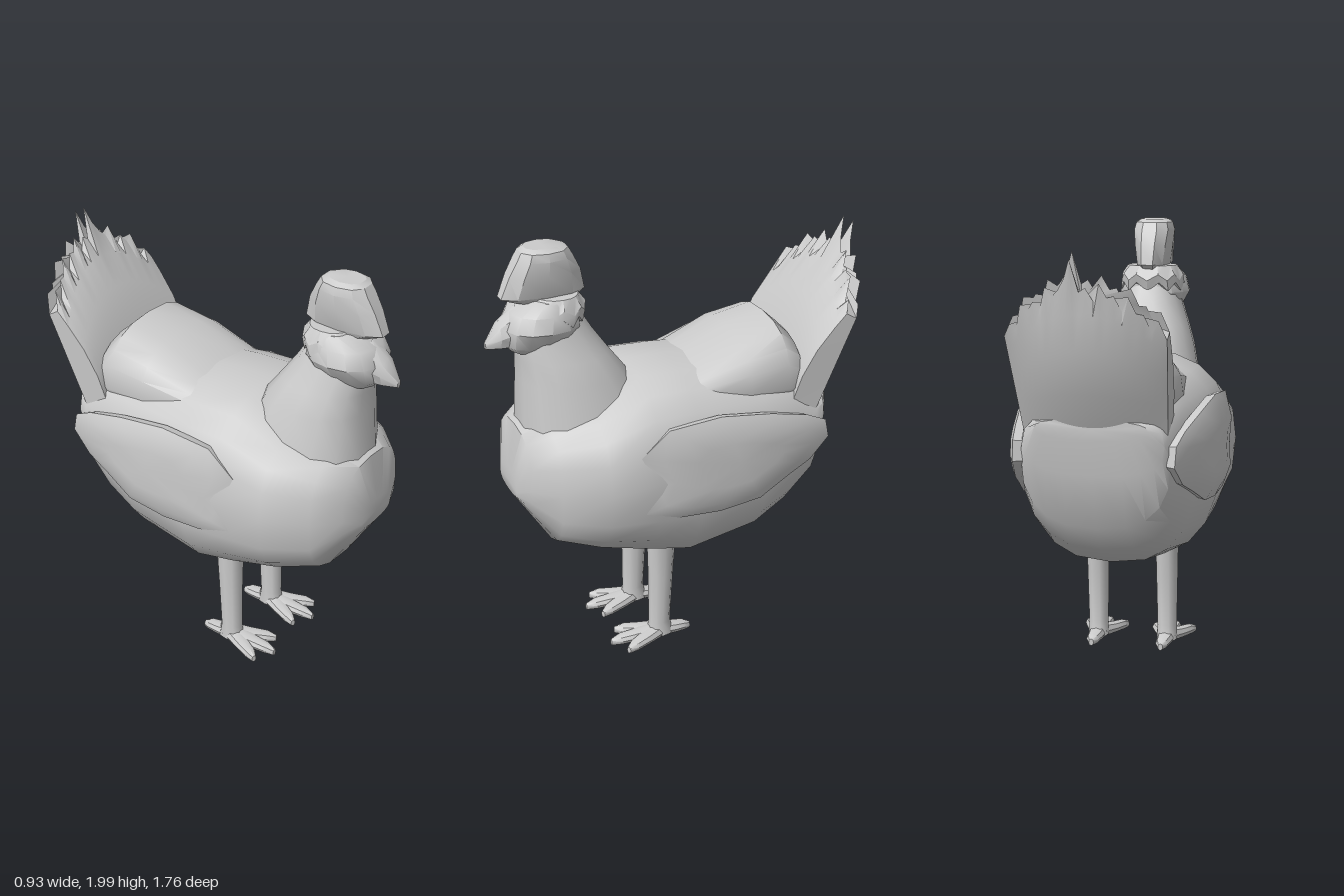
import * as THREE from 'three';
import { toCreasedNormals } from 'three/addons/utils/BufferGeometryUtils.js';

const material = new THREE.MeshStandardMaterial({ color: 0xcccccc });
const V = (x, y, z) => new THREE.Vector3(x, y, z);
const mix = THREE.MathUtils.lerp;

// Closed skin over equal-length rings of points, capped at both ends and facing outward
function loft(rings, crease = 0.7) {
  const n = rings[0].length, tris = [];
  for (let i = 0; i < rings.length - 1; i++) {
    for (let j = 0; j < n; j++) {
      const k = (j + 1) % n;
      const [a, b, c, d] = [rings[i][j], rings[i][k], rings[i + 1][k], rings[i + 1][j]];
      tris.push([a, b, c], [a, c, d]);
    }
  }
  for (const [ring, last] of [[rings[0], false], [rings[rings.length - 1], true]]) {
    const mid = ring.reduce((s, p) => s.add(p), V(0, 0, 0)).divideScalar(n);
    for (let j = 0; j < n; j++) {
      const a = ring[j], b = ring[(j + 1) % n];
      tris.push(last ? [a, b, mid] : [b, a, mid]);
    }
  }
  const volume = tris.reduce((s, [a, b, c]) => s + a.dot(b.clone().cross(c)), 0);
  const points = tris.flatMap(([a, b, c]) => (volume < 0 ? [a, c, b] : [a, b, c]));
  return toCreasedNormals(new THREE.BufferGeometry().setFromPoints(points), crease);
}

// Points around a squared-off oval: e > 1 flattens the sides
function oval(n, e, place) {
  const soft = v => Math.sign(v) * Math.abs(v) ** (1 / e);
  return Array.from({ length: n }, (_, j) => {
    const a = (j / n) * Math.PI * 2;
    return place(soft(Math.cos(a)), soft(Math.sin(a)), j);
  });
}

// Upright cross-section across the body at depth z
const slice = (z, low, mid, high, w, e = 1.3) =>
  oval(20, e, (c, s) => V(c * w, mid + s * (s > 0 ? high - mid : mid - low), z));

// Level cross-section at height y; jag makes every other point hang lower
const level = (y, front, back, w, n = 14, jag = 0) =>
  oval(n, 1.15, (c, s, j) => V(c * w, y - (j % 2) * jag, (front + back) / 2 + s * (front - back) / 2));

// Tail fan: cupped wedge, bulging before and behind, with a ragged feathered rim
function tailGeometry() {
  const steps = 24, rows = [0, 0.3, 0.6, 0.85, 1];
  return loft(rows.map(t => {
    const front = [], back = [];
    for (let i = 0; i <= steps; i++) {
      const u = (i / steps) * 2 - 1, arch = 1 - u * u;
      const plume = i === 13 || i === 14 ? 0.09 : 0;
      const jag = t === 1 ? [0, 0.05, -0.03, 0.02][i % 4] + plume : 0;
      const tipY = 1.6 + 0.2 * arch + jag;
      const tipZ = -0.69 - 0.1 * arch - jag * 0.3;
      const x = u * (0.32 + 0.03 * t);
      const swell = Math.sin(Math.PI * t);
      front.push(V(x, mix(1.2 + 0.1 * arch, tipY, t), mix(-0.45 - 0.04 * arch, tipZ, t) + 0.04 * swell));
      back.push(V(x, mix(1.14, tipY - 0.03, t), mix(-0.57 - 0.06 * arch, tipZ - 0.05, t) - 0.05 * swell * arch));
    }
    return [...front, ...back.reverse()];
  }), 0.6);
}

// Folded wing: shallow dome following the flank, outline given as [z, y]
const wingOutline = [
  [0.33, 1.12], [0.2, 1.23], [-0.05, 1.25], [-0.3, 1.21], [-0.5, 1.15], [-0.6, 1.1], [-0.62, 1.01],
  [-0.52, 0.92], [-0.4, 0.87], [-0.25, 0.8], [-0.05, 0.78], [0.15, 0.79], [0.31, 0.84], [0.26, 0.97],
];
function wingGeometry(side) {
  const cz = -0.13, cy = 1.02;
  const ring = (scale, out) => wingOutline.map(([z, y]) => {
    const Z = mix(cz, z, scale), Y = mix(cy, y, scale);
    const bend = Z < -0.2 ? (-0.2 - Z) * 0.17 : 0;
    return V(side * (0.465 - bend - out), Y, Z);
  });
  return loft([ring(0.45, 0), ring(0.8, 0.012), ring(1, 0.035), ring(0.95, 0.08)], 0.8);
}

export function createModel() {
  const hen = new THREE.Group();
  hen.name = 'hen';
  const add = (name, geometry, parent = hen) => {
    const mesh = new THREE.Mesh(geometry, material);
    mesh.name = name;
    parent.add(mesh);
    return mesh;
  };

  // Plump body, breast to rump
  add('body', loft([
    slice(0.805, 0.86, 0.9, 0.97, 0.12),
    slice(0.765, 0.8, 0.95, 1.18, 0.23, 1.4),
    slice(0.66, 0.635, 0.95, 1.24, 0.33, 1.4),
    slice(0.47, 0.575, 0.96, 1.3, 0.435),
    slice(0.24, 0.505, 0.98, 1.405, 0.445),
    slice(0.04, 0.452, 0.98, 1.4, 0.435),
    slice(-0.3, 0.505, 1.0, 1.37, 0.395),
    slice(-0.46, 0.6, 1.02, 1.34, 0.365),
    slice(-0.575, 0.72, 1.04, 1.28, 0.335),
    slice(-0.615, 0.96, 1.1, 1.24, 0.315),
    slice(-0.65, 1.12, 1.17, 1.21, 0.25),
  ], 0.8));

  // Raised saddle feathers in front of the tail
  add('saddle', loft([
    slice(-0.02, 1.2, 1.28, 1.38, 0.3),
    slice(-0.25, 1.18, 1.27, 1.49, 0.32),
    slice(-0.44, 1.18, 1.26, 1.53, 0.31),
    slice(-0.515, 1.18, 1.25, 1.46, 0.29),
    slice(-0.55, 1.18, 1.24, 1.36, 0.27),
  ]));

  add('tail', tailGeometry());

  // Neck hackle sloping down to the back
  add('neck', loft([
    level(1.18, 0.75, 0.14, 0.265),
    level(1.4, 0.74, 0.255, 0.22),
    level(1.5, 0.74, 0.33, 0.185),
    level(1.6, 0.75, 0.4, 0.145),
    level(1.7, 0.74, 0.46, 0.12),
  ], 0.8));

  // Head, wider at the cheeks
  const head = new THREE.Group();
  head.name = 'head';
  hen.add(head);
  add('skull', loft([
    level(1.54, 0.77, 0.5, 0.1),
    level(1.57, 0.8, 0.47, 0.125),
    level(1.65, 0.805, 0.45, 0.17),
    level(1.72, 0.77, 0.46, 0.155),
    level(1.77, 0.69, 0.48, 0.12),
  ]), head);

  // Ragged collar of feathers around the back of the head
  add('headRuff', loft([
    level(1.78, 0.66, 0.46, 0.12, 20),
    level(1.74, 0.7, 0.43, 0.15, 20, 0.03),
    level(1.7, 0.7, 0.445, 0.155, 20, 0.04),
    level(1.68, 0.66, 0.48, 0.12, 20),
  ], 0.5), head);

  // Blunt downward beak
  const beakRing = (z, y, w, h) => oval(8, 1, (c, s) => V(c * w, y + s * h, z));
  add('beak', loft([
    beakRing(0.74, 1.645, 0.085, 0.1),
    beakRing(0.82, 1.615, 0.06, 0.065),
    beakRing(0.88, 1.575, 0.014, 0.018),
  ]), head);

  // Tall comb, narrow at the brow and full on top
  add('comb', loft([
    level(1.755, 0.74, 0.46, 0.06, 10),
    level(1.785, 0.815, 0.42, 0.075, 10),
    level(1.88, 0.775, 0.44, 0.09, 10),
    level(1.95, 0.735, 0.475, 0.1, 10),
    level(1.985, 0.715, 0.495, 0.09, 10),
    level(2.0, 0.69, 0.53, 0.065, 10),
  ], 0.5), head);

  // Wings, legs and feet on both sides
  for (const side of [1, -1]) {
    const label = side > 0 ? 'left' : 'right';
    add(label + 'Wing', wingGeometry(side));

    const leg = new THREE.Group();
    leg.name = label + 'Leg';
    leg.position.set(side * 0.168, 0, 0.14);
    hen.add(leg);
    add('shank', loft([
      level(0.03, 0.065, -0.06, 0.05, 10),
      level(0.1, 0.055, -0.045, 0.047, 10),
      level(0.35, 0.055, -0.06, 0.052, 10),
      level(0.56, 0.06, -0.075, 0.056, 10),
    ], 0.8), leg);

    // Three forward toes and one hind toe: [angle, length]
    for (const [angle, length] of [[-0.45, 0.22], [0, 0.25], [0.45, 0.22], [Math.PI, 0.15]]) {
      const toeRing = (z, w, top) => oval(8, 1.1, (c, s) => V(c * w, mix(0.012, top, (s + 1) / 2), z));
      const toe = add('toe', loft([
        toeRing(-0.02, 0.045, 0.085),
        toeRing(length * 0.45, 0.037, 0.066),
        toeRing(length * 0.8, 0.03, 0.06),
        toeRing(length, 0.012, 0.045),
      ]), leg);
      toe.rotation.y = angle;
    }
  }
  return hen;
}
